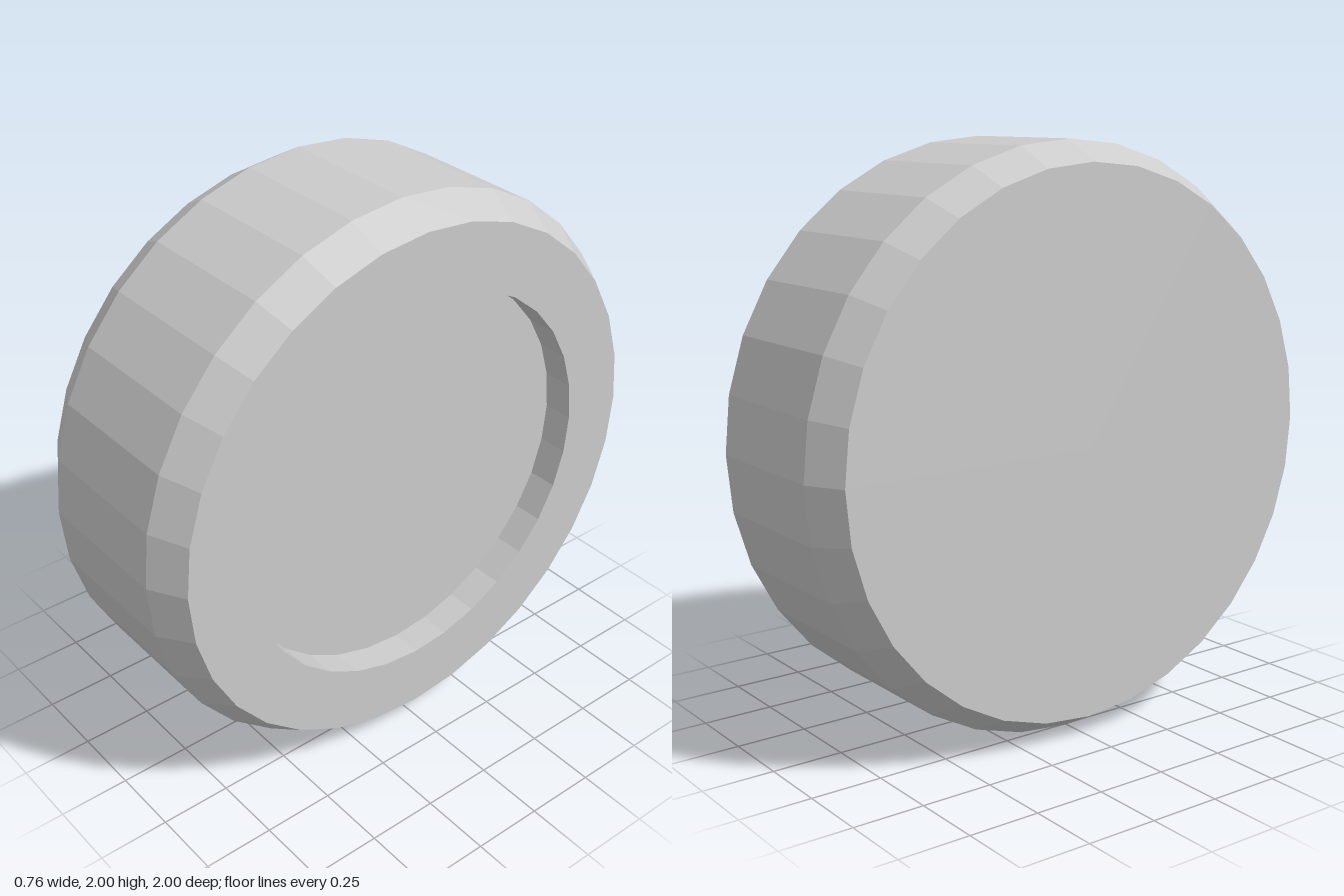
import * as THREE from 'three';

const SIDES = 32;
const HALF = 0.38;    // half width
const TREAD = 0.257;  // half width of the flat tread
const FACE_R = 0.93;  // side face radius
const HUB_R = 0.7;    // recess radius
const DEPTH = 0.11;   // recess depth

export function createModel() {
  const model = new THREE.Group();
  model.name = 'wheel';
  const grey = new THREE.MeshStandardMaterial({ color: 0xcccccc, flatShading: true });
  grey.name = 'light grey';

  // Revolves [radius, x] points around the x axis
  const ring = (name, profile) => {
    const geometry = new THREE.LatheGeometry(profile.map(([r, x]) => new THREE.Vector2(r, x)), SIDES);
    geometry.rotateZ(-Math.PI / 2);
    const mesh = new THREE.Mesh(geometry, grey);
    mesh.name = name;
    mesh.position.y = 1;
    model.add(mesh);
  };

  // Flat inner side
  ring('innerFace', [[0, -HALF], [FACE_R, -HALF]]);
  // Tread with a bevel on each edge
  ring('tyre', [[FACE_R, -HALF], [1, -TREAD], [1, TREAD], [FACE_R, HALF]]);
  // Outer side band and the wall of the recess
  ring('rim', [[FACE_R, HALF], [HUB_R, HALF], [HUB_R, HALF - DEPTH]]);
  // Recessed disc
  ring('hub', [[HUB_R, HALF - DEPTH], [0, HALF - DEPTH]]);

  return model;
}
